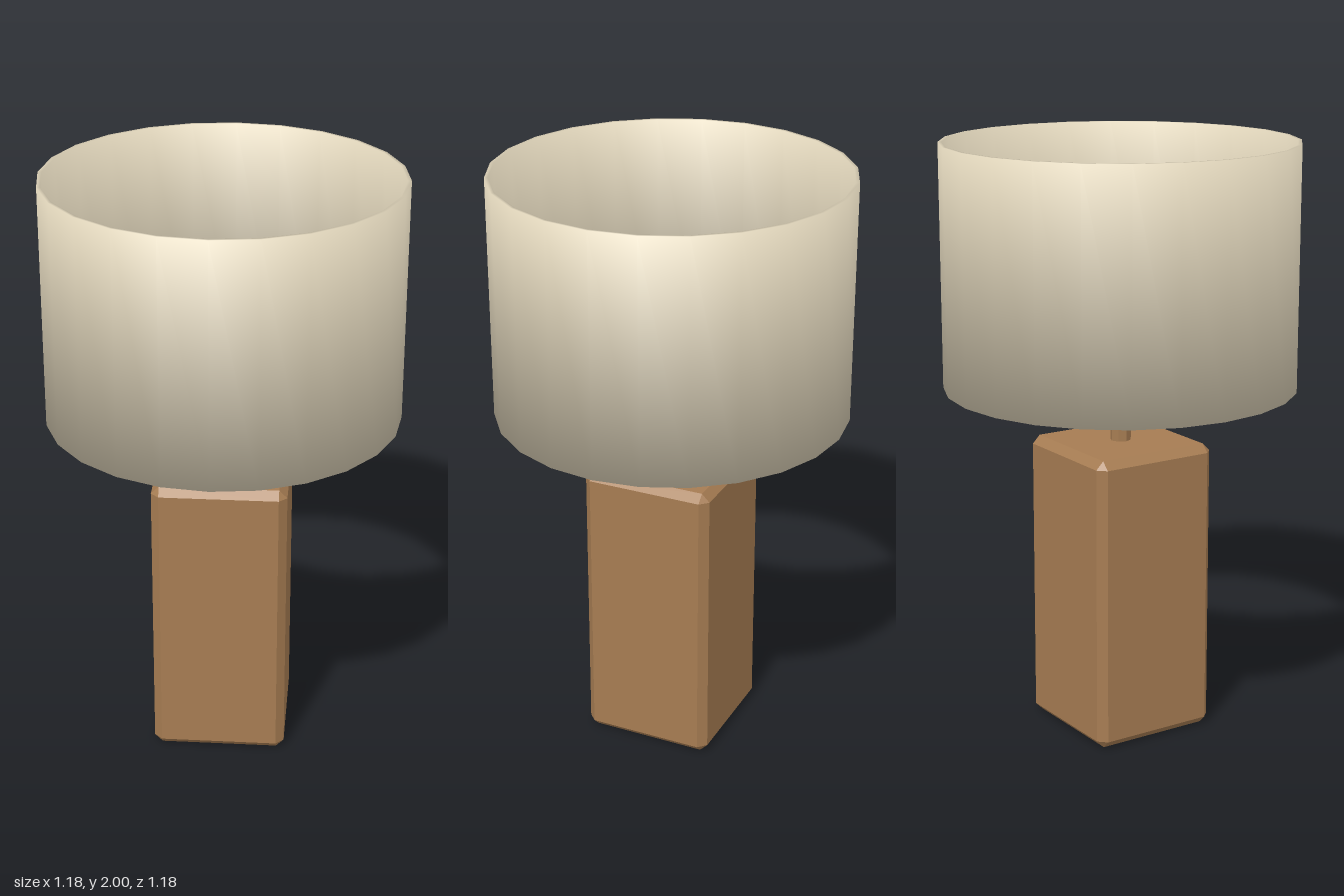
import * as THREE from 'three';
import { ConvexGeometry } from 'three/addons/geometries/ConvexGeometry.js';

// Box with flat 45 degree chamfers on every edge, standing on y = 0
function chamferedBox(w, h, d, c) {
  const half = [w / 2, h / 2, d / 2];
  const points = [];
  for (const sx of [-1, 1]) for (const sy of [-1, 1]) for (const sz of [-1, 1]) {
    const sign = [sx, sy, sz];
    for (let full = 0; full < 3; full++) {
      const p = half.map((v, i) => sign[i] * (i === full ? v : v - c));
      points.push(new THREE.Vector3(p[0], p[1] + h / 2, p[2]));
    }
  }
  return new ConvexGeometry(points);
}

// Open thick-walled drum whose normals blend softly over the rims
function drum(inner, outer, bottom, top, sides) {
  const profile = [[inner, bottom], [outer, bottom], [outer, top], [inner, top], [inner, bottom]]
    .map(([x, y]) => new THREE.Vector2(x, y));
  const geometry = new THREE.LatheGeometry(profile, sides);
  const pos = geometry.attributes.position;
  const n = new THREE.Vector3();
  for (let i = 0; i < pos.count; i++) {
    const x = pos.getX(i), y = pos.getY(i), z = pos.getZ(i);
    const out = Math.hypot(x, z) > (inner + outer) / 2 ? 1 : -1;
    n.set(x, 0, z).normalize().multiplyScalar(out);
    n.y = y > (bottom + top) / 2 ? 1 : -1;
    n.normalize();
    geometry.attributes.normal.setXYZ(i, n.x, n.y, n.z);
  }
  return geometry;
}

export function createModel() {
  const wood = new THREE.MeshStandardMaterial({ color: 0xa67c52 });
  wood.name = 'wood';
  const linen = new THREE.MeshStandardMaterial({ color: 0xddd2b8 });
  linen.name = 'linen';

  const lamp = new THREE.Group();
  lamp.name = 'tableLamp';
  const add = (name, geometry, material) => {
    const mesh = new THREE.Mesh(geometry, material);
    mesh.name = name;
    lamp.add(mesh);
    return mesh;
  };

  // Block base
  add('base', chamferedBox(0.45, 1, 0.45, 0.027), wood);

  // Eight-sided stem, ending inside the shade
  const stem = new THREE.CylinderGeometry(0.035, 0.035, 0.3, 8).toNonIndexed();
  stem.computeVertexNormals();
  add('stem', stem, wood).position.y = 1.13;

  // Drum shade
  add('shade', drum(0.578, 0.59, 1.188, 2, 24), linen);

  return lamp;
}
